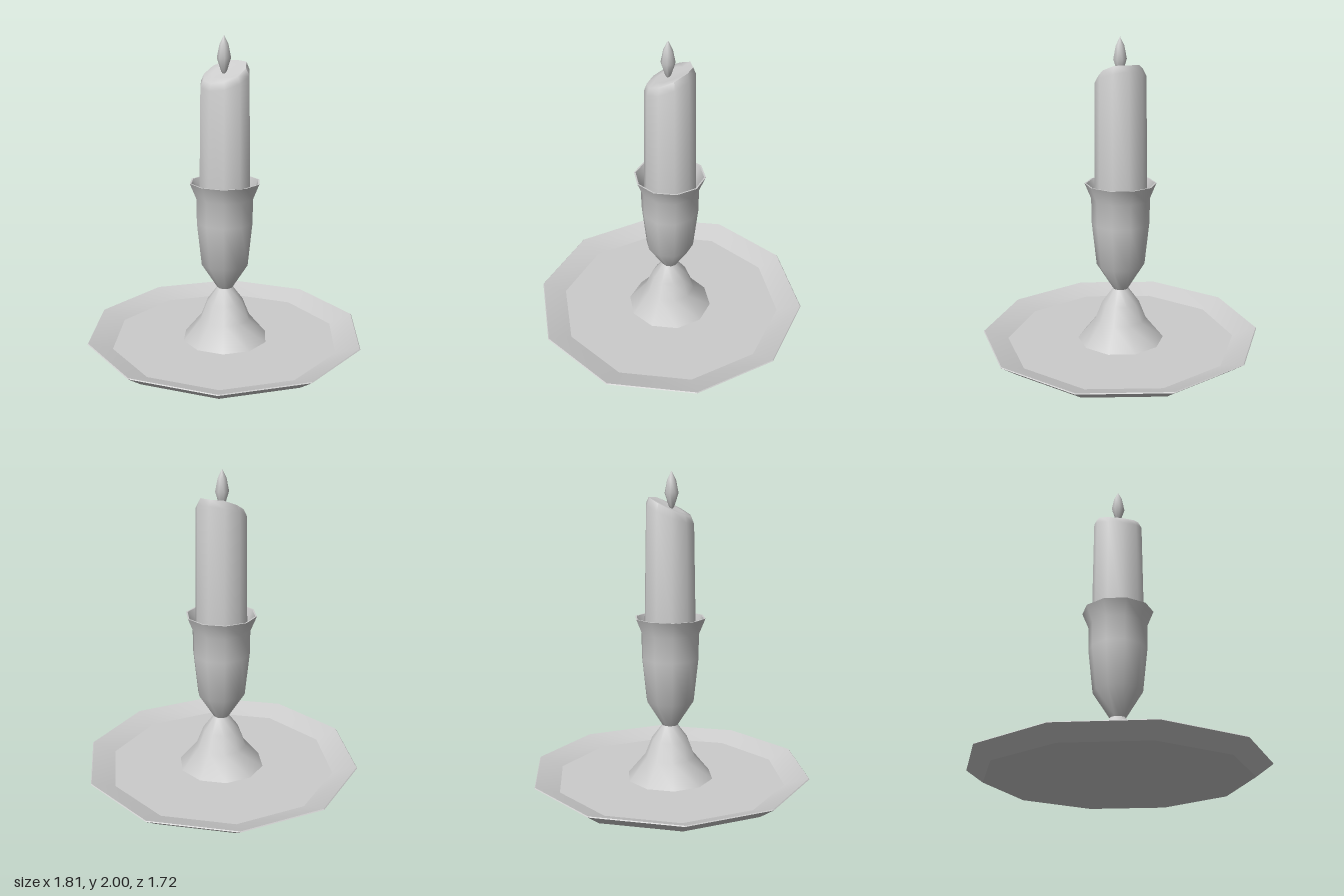
import * as THREE from 'three';
import { toCreasedNormals } from 'three/addons/utils/BufferGeometryUtils.js';

const material = new THREE.MeshStandardMaterial({ color: 0xcccccc });

// Turned part: profile of [radius, y] from bottom centre outward and up, a corner on +x
function turned(name, profile, crease = 0.8, sides = 10, reshape) {
  const points = profile.map(([r, y]) => new THREE.Vector2(r, y));
  const geometry = new THREE.LatheGeometry(points, sides, Math.PI / 2);
  if (reshape) {
    const pos = geometry.attributes.position;
    for (let i = 0; i < pos.count; i++) reshape(pos, i, i % points.length);
  }
  const mesh = new THREE.Mesh(toCreasedNormals(geometry, crease), material);
  mesh.name = name;
  return mesh;
}

export function createModel() {
  const model = new THREE.Group();
  model.name = 'candlestick';

  // Shallow dish with a flared rim
  model.add(turned('dish', [
    [0, 0], [0.16, 0], [0.8, 0.01], [0.905, 0.085], [0.9, 0.09], [0.745, 0.035], [0, 0.035],
  ], 0.3));

  // Bell-shaped foot
  model.add(turned('foot', [
    [0.285, 0.03], [0.165, 0.175], [0.12, 0.29], [0.05, 0.385],
  ]));

  // Hollow cup with a flared lip
  model.add(turned('cup', [
    [0.05, 0.385], [0.155, 0.55], [0.185, 0.83], [0.187, 0.99], [0.228, 1.09],
    [0.218, 1.09], [0.178, 0.99], [0.172, 0.9], [0, 0.9],
  ]));

  // Candle with a slanted, slightly sunken top
  const SHOULDER = 2, EDGE = 3, INNER = 4;
  model.add(turned('candle', [
    [0, 0.9], [0.168, 0.92], [0.16, 1.74], [0.136, 1.785], [0.085, 1.785], [0, 1.775],
  ], 1.2, 10, (pos, i, ring) => {
    const x = pos.getX(i);
    if (ring === SHOULDER) {
      pos.setX(i, x * 0.95);
      pos.setY(i, 1.74 + 0.4 * x);
    }
    if (ring === EDGE) pos.setY(i, Math.min(1.84, 1.785 + 0.48 * x));
    if (ring === INNER) pos.setY(i, 1.785 + 0.45 * x);
  }));

  // Pointed flame
  const flame = turned('flame', [
    [0, 1.76], [0.018, 1.785], [0.044, 1.865], [0.028, 1.945], [0, 2],
  ], 1.2, 8);
  flame.position.x = -0.01;
  model.add(flame);

  return model;
}
